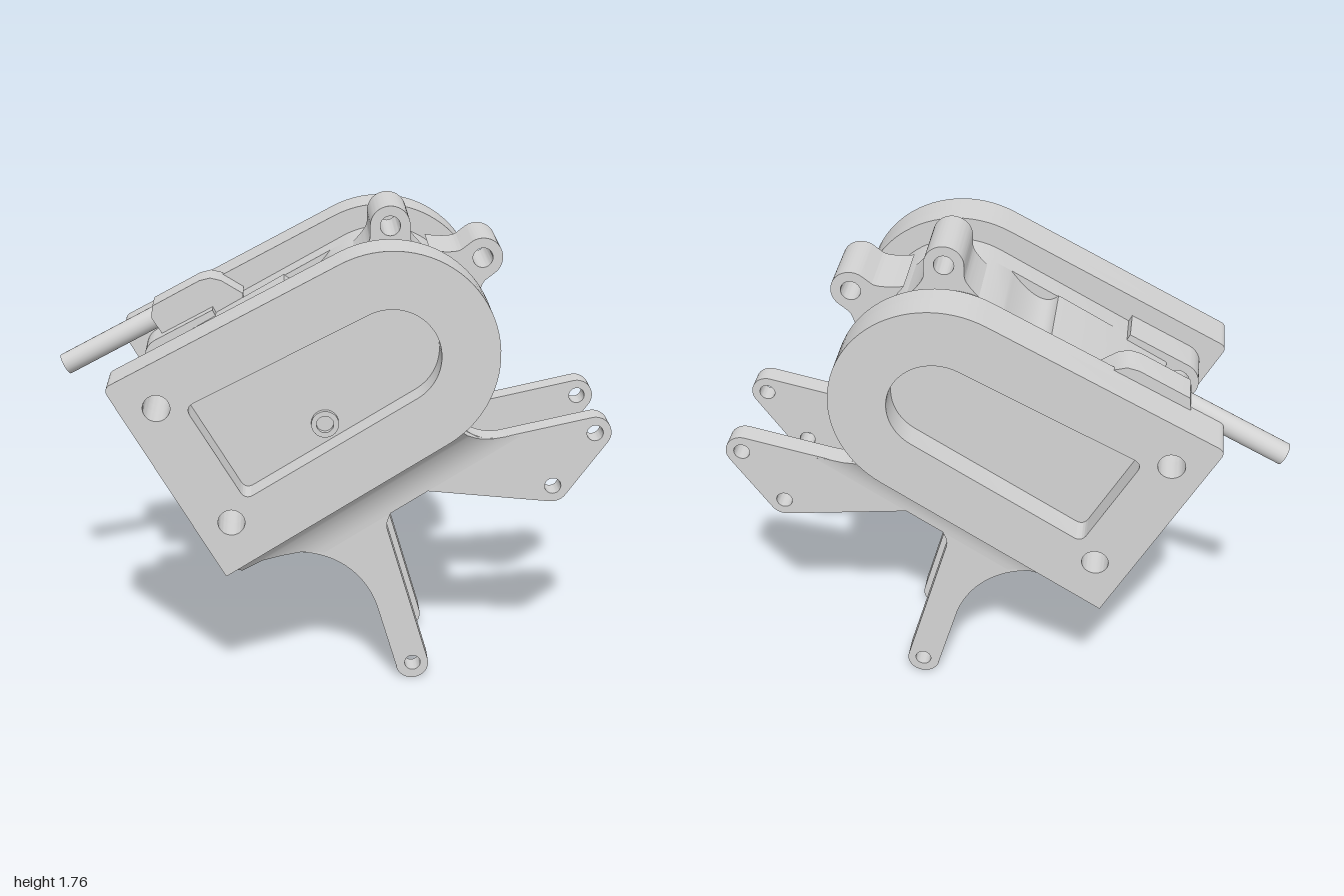
import * as THREE from 'three';
import { toCreasedNormals } from 'three/addons/utils/BufferGeometryUtils.js';

const metal = new THREE.MeshStandardMaterial({ color: 0xd4d4d4 });
metal.name = 'grey metal';
const rad = THREE.MathUtils.degToRad;
const LOW = rad(32.5), TOP = rad(28); // slopes of the lower and upper housing edges
const HUB = [0.2, 1.31];
const PINS = [[-0.597, 1.138], [-0.35, 0.715]];

export function createModel() {
  const model = new THREE.Group();
  model.name = 'actuatorBracket';

  const add = (name, geometry) => {
    const mesh = new THREE.Mesh(toCreasedNormals(geometry, 0.5), metal);
    mesh.name = name;
    model.add(mesh);
    return mesh;
  };
  const extrude = (name, shape, z0, z1) => {
    const g = new THREE.ExtrudeGeometry(shape, { depth: z1 - z0, bevelEnabled: false, curveSegments: 20 });
    return add(name, g.translate(0, 0, z0));
  };
  const polygon = (pts) => new THREE.Shape(pts.map((p) => new THREE.Vector2(...p)));
  const drill = (shape, holes, r) => {
    for (const [x, y] of holes) shape.holes.push(new THREE.Path().absarc(x, y, r, 0, Math.PI * 2, true));
    return shape;
  };

  // D-shaped outline: rounded about the hub, square at the far end (a upper, b lower corner);
  // an optional concave notch [start, control, end] interrupts the top edge
  const dShape = (a, b, r, ka, kb, notch) => {
    const A = new THREE.Vector2(...a), B = new THREE.Vector2(...b);
    const along = (p, ang, d) => [p.x + Math.cos(ang) * d, p.y + Math.sin(ang) * d];
    const end = B.clone().sub(A).angle();
    const s = new THREE.Shape();
    s.moveTo(...along(B, LOW, kb));
    s.absarc(...HUB, r, LOW - Math.PI / 2, TOP + Math.PI / 2, false);
    if (notch) {
      s.lineTo(...notch[0]);
      s.quadraticCurveTo(...notch[1], ...notch[2]);
    }
    s.lineTo(...along(A, TOP, ka));
    s.quadraticCurveTo(A.x, A.y, ...along(A, end, ka));
    s.lineTo(...along(B, end, -kb));
    s.quadraticCurveTo(B.x, B.y, ...along(B, LOW, kb));
    return s;
  };
  // Rounded lug running from a centre towards the body, flared at its root
  const lugShape = ([x, y], r, ang, length, flare) => {
    const c = Math.cos(ang), n = Math.sin(ang);
    const at = (d, w) => [x + c * d - n * w, y + n * d + c * w];
    const s = new THREE.Shape();
    s.moveTo(...at(length, -r - flare));
    s.lineTo(...at(length, r + flare));
    s.quadraticCurveTo(...at(length - flare, r), ...at(length - flare * 1.4, r));
    s.absarc(x, y, r, ang + Math.PI / 2, ang + Math.PI * 1.5, false);
    s.lineTo(...at(length - flare * 1.4, -r));
    s.quadraticCurveTo(...at(length - flare, -r), ...at(length, -r - flare));
    return s;
  };

  // Side plates, each with a pocket in its outer face
  const plate = () => drill(dShape([-0.775, 1.21], [-0.372, 0.509], 0.37, 0.03, 0.004), PINS, 0.047);
  const pocket = () => dShape([-0.5, 1.14], [-0.3, 0.8], 0.17, 0.035, 0.035);
  for (const [side, s] of [['front', 1], ['back', -1]]) {
    const rim = plate();
    rim.holes.push(pocket());
    const span = (a, b) => (s > 0 ? [a, b] : [-b, -a]);
    extrude(side + 'PlateFloor', plate(), ...span(0.268, 0.332));
    extrude(side + 'PlateRim', rim, ...span(0.332, 0.432));
  }

  // Small ring in the front pocket
  const ring = drill(new THREE.Shape().absarc(-0.022, 1.045, 0.048, 0, Math.PI * 2, false), [[-0.022, 1.045]], 0.03);
  extrude('pocketRing', ring, 0.33, 0.35);

  // Core between the plates, its middle notched on top
  const core = (notch) => dShape([-0.56, 1.215], [-0.22, 0.61], 0.288, 0.01, 0.01, notch);
  extrude('coreMiddle', core([[0.01, 1.534], [-0.1, 1.38], [-0.16, 1.444]]), -0.165, 0.165);
  extrude('coreBack', core(), -0.27, -0.165);
  extrude('coreFront', core(), 0.165, 0.27);

  // Ledge along the lower edge, forked at the square end
  extrude('lowerLedge', polygon([[-0.21, 0.612], [0.46, 1.04], [0.46, 1.09], [0.36, 1.09], [-0.24, 0.665]]), -0.27, 0.27);
  for (const z of [-0.27, 0.125]) {
    extrude('ledgeFork', polygon([[-0.36, 0.518], [-0.18, 0.632], [-0.22, 0.69], [-0.385, 0.56]]), z, z + 0.145);
  }

  // Pin lugs at the square end
  PINS.forEach((p, i) => {
    for (const z of [-0.27, 0.125]) {
      extrude('pinLug', drill(lugShape(p, i ? 0.09 : 0.08, i ? LOW : TOP, 0.24, 0), [p], 0.047), z, z + 0.145);
    }
  });

  // Pierced lugs on the round end
  for (const [c, ang] of [[[0.21, 1.69], -Math.PI / 2], [[0.535, 1.575], rad(218)]]) {
    extrude('hubLug', drill(lugShape(c, 0.07, ang, 0.13, 0.065), [c], 0.035), -0.12, 0.12);
  }

  // Forked arms below the housing
  const armShape = () => {
    const s = new THREE.Shape();
    s.moveTo(-0.33, 0.59);
    s.lineTo(-0.37, 0.51);
    s.quadraticCurveTo(-0.335, 0.42, -0.27, 0.485);
    s.bezierCurveTo(-0.1, 0.56, 0.1, 0.5, 0.17, 0.3);
    s.lineTo(0.246, 0.045);
    s.absarc(0.303, 0.06, 0.06, rad(195), rad(375), false);
    s.lineTo(0.207, 0.595);
    s.quadraticCurveTo(0.198, 0.622, 0.21, 0.648);
    s.lineTo(0.235, 0.715);
    s.quadraticCurveTo(0.25, 0.757, 0.29, 0.755);
    s.lineTo(0.79, 0.705);
    s.absarc(0.795, 0.765, 0.06, rad(-95), rad(-35), false);
    s.absarc(0.937, 0.965, 0.06, rad(-35), rad(102), false);
    s.lineTo(0.62, 0.955);
    s.bezierCurveTo(0.52, 0.93, 0.44, 0.99, 0.46, 1.04);
    s.lineTo(0.42, 1.06);
    return drill(s, [[0.305, 0.062], [0.797, 0.765], [0.939, 0.965]], 0.029);
  };
  for (const z of [-0.245, 0.165]) extrude('forkArm', armShape(), z, z + 0.08);

  // Concave skirts blending the plates into the arms: [drop, start, end] along the lower edge
  const rows = [[0, 0, 0.985], [0.004, 0, 0.981], [0.015, 0.002, 0.972], [0.033, 0.005, 0.963], [0.065, 0.02, 0.968],
    [0.075, 0.1, 0.973], [0.104, 0.165, 0.99], [0.137, 0.233, 1.03], [0.165, 0.27, 1.09], [0.185, 0.295, 1.12]];
  for (const s of [1, -1]) {
    const pos = [], index = [], r = 0.185;
    rows.forEach(([v, u0, u1], i) => {
      const out = 0.245 + r - Math.sqrt(r * r - (r - v) ** 2);
      for (const [u, z] of [[u0, 0.2], [u0, out], [u1, out], [u1, 0.2]]) {
        pos.push(-0.37 + u * 0.843 + v * 0.538, 0.51 + u * 0.538 - v * 0.843, s * z);
      }
      if (i === 0) return;
      for (let k = 0; k < 3; k++) {
        const a = (i - 1) * 4 + k, b = i * 4 + k;
        index.push(...(s > 0 ? [a, b, b + 1, a, b + 1, a + 1] : [a, b + 1, b, a, a + 1, b + 1]));
      }
    });
    const g = new THREE.BufferGeometry();
    g.setAttribute('position', new THREE.Float32BufferAttribute(pos, 3));
    g.setIndex(index);
    add('plateSkirt', g);
  }

  // Stop block between the arms
  extrude('stopBlock', polygon([[-0.2, 0.63], [-0.02, 0.515], [0.17, 0.575], [0.215, 0.85], [0.19, 0.88]]), -0.166, 0.166);

  // Cable and its gland
  extrude('cableGland', polygon([[-0.65, 1.28], [-0.6, 1.2], [-0.31, 1.25], [-0.31, 1.37], [-0.39, 1.42],
    [-0.43, 1.43], [-0.47, 1.42], [-0.645, 1.325]]), -0.29, -0.17);
  const cable = add('cable', new THREE.CylinderGeometry(0.04, 0.04, 0.46, 20));
  cable.rotation.z = TOP - Math.PI / 2;
  cable.position.set(-0.98 + 0.23 * Math.cos(TOP), 1.085 + 0.23 * Math.sin(TOP), -0.23);

  return model;
}
